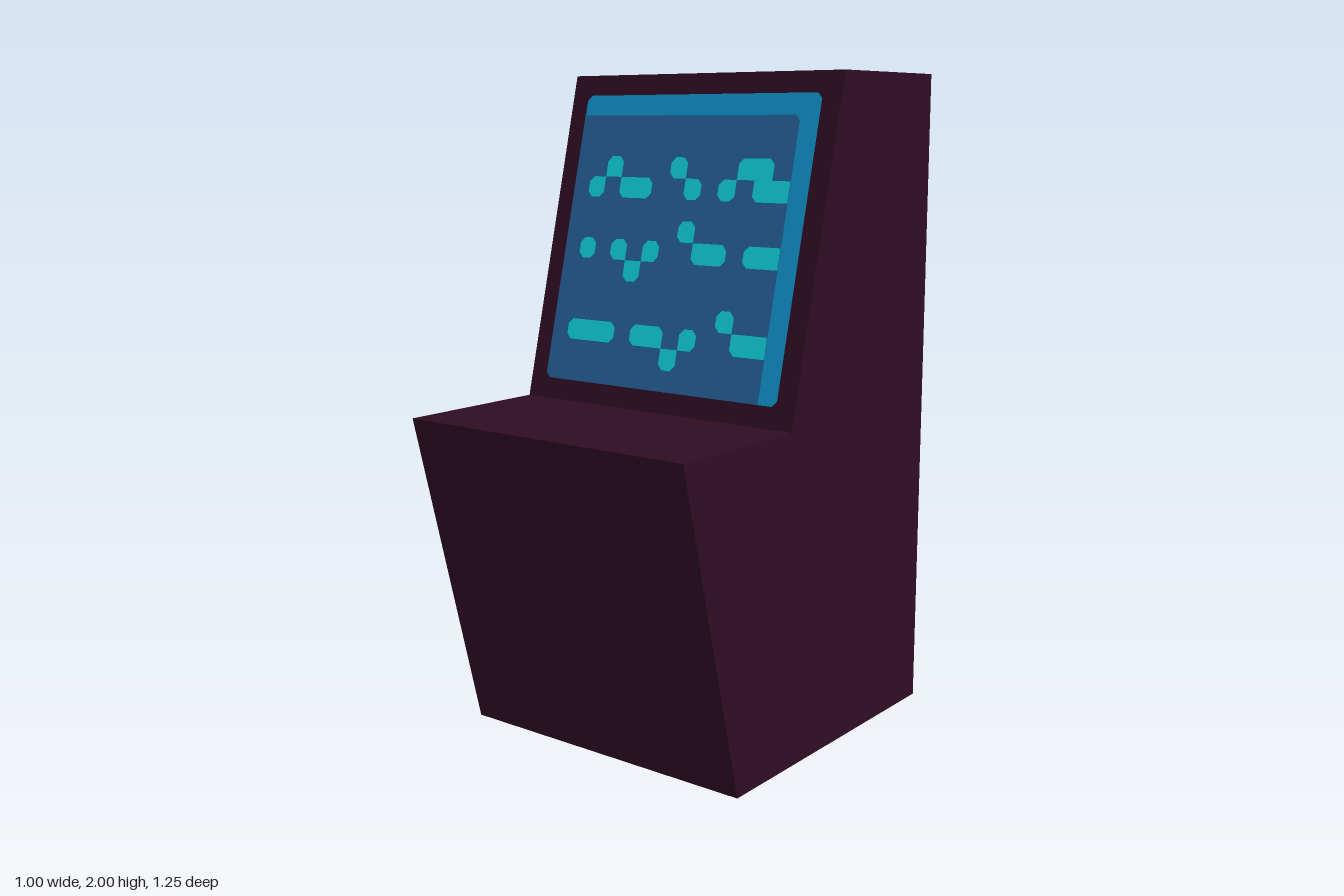
import * as THREE from 'three';
import { mergeGeometries } from 'three/addons/utils/BufferGeometryUtils.js';

const material = (name, color) => {
  const m = new THREE.MeshStandardMaterial({ color });
  m.name = name;
  return m;
};

// Rectangle whose corners are cut off; cuts = [bottomLeft, bottomRight, topRight, topLeft]
function cutRect(x0, y0, x1, y1, [a, b, c, d], z) {
  const points = [
    [x0, y0 + a], [x0 + a, y0], [x1 - b, y0], [x1, y0 + b],
    [x1, y1 - c], [x1 - c, y1], [x0 + d, y1], [x0, y1 - d],
  ].map(([x, y]) => new THREE.Vector2(x, y))
    .filter((p, i, all) => i === 0 || p.distanceTo(all[i - 1]) > 1e-6);
  if (points[0].distanceTo(points[points.length - 1]) < 1e-6) points.pop();
  return new THREE.ShapeGeometry(new THREE.Shape(points)).translate(0, 0, z);
}

// Lit squares of the display on a 16 x 16 grid; the frame column counts as lit
const CELL = 1 / 16, CUT = 0.016;
const LIT = {
  4: [3, 7, 11, 12], 5: [2, 4, 5, 8, 10, 12, 13],
  7: [8], 8: [2, 4, 6, 9, 10, 12, 13], 9: [5],
  11: [11], 12: [2, 3, 4, 6, 7, 9, 12, 13], 13: [8],
};
const isLit = (row, col) => col === 14 || (LIT[row] || []).includes(col);

function litSquare(row, col, z) {
  // A corner is cut only where it touches no other lit square
  const cuts = [[1, -1], [1, 1], [-1, 1], [-1, -1]].map(([dr, dc]) =>
    isLit(row + dr, col) || isLit(row, col + dc) || isLit(row + dr, col + dc) ? 0 : CUT);
  const x = -0.5 + col * CELL, y = -row * CELL;
  return cutRect(x, y - CELL, x + CELL, y, cuts, z);
}

export function createModel() {
  const model = new THREE.Group();
  const plum = material('darkPlum', 0x2f0d23);
  const frameBlue = material('frameBlue', 0x1194cb);
  const screenBlue = material('screenBlue', 0x246099);
  const cyan = material('litCyan', 0x0fd2dc);

  const add = (parent, name, geometry, mat) => {
    const mesh = new THREE.Mesh(geometry, mat);
    mesh.name = name;
    parent.add(mesh);
  };

  // Cabinet: side profile (z, y) extruded across the width
  const profile = new THREE.Shape([
    [-0.625, 0], [0.375, 0], [0.625, 1], [0.125, 1], [-0.125, 2], [-0.625, 2],
  ].map(([z, y]) => new THREE.Vector2(z, y)));
  const body = new THREE.ExtrudeGeometry(profile, { depth: 1, bevelEnabled: false });
  body.translate(0, 0, -0.5).rotateY(-Math.PI / 2);
  add(model, 'cabinet', body, plum);

  // Display: hangs from the top edge of the sloping face
  const display = new THREE.Group();
  display.name = 'display';
  display.position.set(0, 2, -0.125);
  display.rotation.x = -Math.atan(0.25);
  display.scale.y = Math.hypot(1, 0.25);
  model.add(display);

  const edge = 0.5 - CELL;
  add(display, 'screenFrame',
    cutRect(-edge, -15 * CELL, edge, -CELL, [CUT, CUT, CUT, CUT], 0.002), frameBlue);
  add(display, 'screen',
    cutRect(-edge, -15 * CELL, edge - CELL, -2 * CELL, [CUT, 0, CUT, 0], 0.004), screenBlue);

  const squares = Object.entries(LIT).flatMap(([row, cols]) =>
    cols.map((col) => litSquare(Number(row), col, 0.006)));
  add(display, 'litSquares', mergeGeometries(squares), cyan);

  return model;
}
